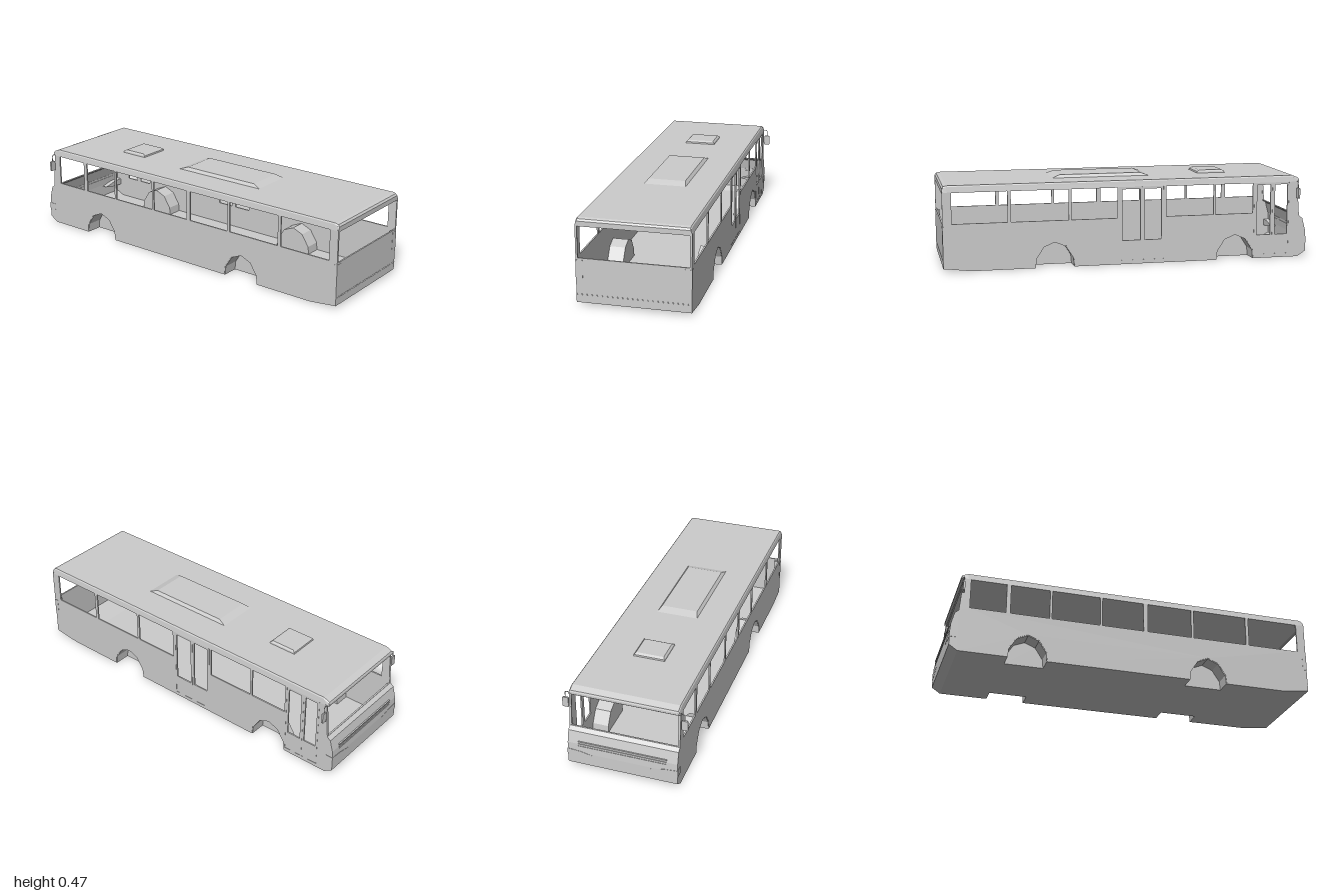
import * as THREE from 'three';

const mat = new THREE.MeshStandardMaterial({ color: 0xcccccc, flatShading: true, side: THREE.DoubleSide });
const HALF = 0.292, WALL = 0.008;

const poly = (pts, C = THREE.Shape) => new C(pts.map(([a, b]) => new THREE.Vector2(a, b)));
const rect = (a0, b0, a1, b1) => [[a0, b0], [a1, b0], [a1, b1], [a0, b1]];

function add(parent, name, geo, x = 0, y = 0, z = 0) {
  const m = new THREE.Mesh(geo, mat);
  m.name = name;
  m.position.set(x, y, z);
  parent.add(m);
  return m;
}

function box(parent, name, x0, x1, y0, y1, z0, z1) {
  return add(parent, name, new THREE.BoxGeometry(x1 - x0, y1 - y0, z1 - z0),
    (x0 + x1) / 2, (y0 + y1) / 2, (z0 + z1) / 2);
}

// Extrude a [x, y] outline along z
function extrude(pts, holes, depth) {
  const s = poly(pts);
  s.holes = holes.map(h => poly(h, THREE.Path));
  return new THREE.ExtrudeGeometry(s, { depth, bevelEnabled: false });
}

// Extrude a [z, y] outline along x
function extrudeX(pts, holes, depth) {
  const flip = p => p.map(([z, y]) => [-z, y]);
  return extrude(flip(pts), holes.map(flip), depth).rotateY(Math.PI / 2);
}

// Skin equal closed rings of [x, y, z], capping both ends
function loft(rings) {
  const n = rings[0].length, index = [];
  for (let i = 0; i < rings.length - 1; i++)
    for (let j = 0; j < n; j++) {
      const a = i * n + j, b = i * n + (j + 1) % n;
      index.push(a, b, b + n, a, b + n, a + n);
    }
  const last = (rings.length - 1) * n;
  for (let j = 1; j < n - 1; j++) index.push(0, j + 1, j, last, last + j, last + j + 1);
  const g = new THREE.BufferGeometry();
  g.setAttribute('position', new THREE.Float32BufferAttribute(rings.flat(2), 3));
  g.setIndex(index);
  const flat = g.toNonIndexed();
  flat.computeVertexNormals();
  return flat;
}

// Counter-clockwise rectangle in plan, at height y
const planRing = (hx, z0, z1, y) => [[-hx, y, z1], [hx, y, z1], [hx, y, z0], [-hx, y, z0]];

const ARCHES = [-0.59, 0.41];
const archProfile = (zc, r = 1) =>
  [[-0.107, 0], [-0.102, 0.05], [-0.06, 0.115], [0, 0.14], [0.06, 0.115], [0.102, 0.05], [0.107, 0]]
    .map(([z, y]) => [zc + z * r, y * r]);

const NOSE = [[-1, 0.03], [-1, 0.1], [-0.997, 0.15], [-0.98, 0.214], [-0.96, 0.23]];

export function createModel() {
  const bus = new THREE.Group();
  bus.name = 'busBody';

  // Side walls with wheel cut-outs and window openings
  const outline = [[-0.955, 0], ...archProfile(ARCHES[0]), ...archProfile(ARCHES[1]),
    [0.85, 0], [1, 0.018], [1, 0.42], [-0.945, 0.42], ...NOSE.slice().reverse()];
  const win = (a, b) => rect(a, 0.253, b, 0.418);
  const pane = (a, b) => rect(a, 0.13, b, 0.408);
  const shared = [[0.66, 0.952], [0.335, 0.642], [0.07, 0.32], [-0.465, -0.2], [-0.69, -0.478]].map(w => win(...w));
  const doorSide = [...shared, pane(-0.056, 0.043), pane(-0.172, -0.08), pane(-0.792, -0.715), pane(-0.89, -0.818)];
  const plainSide = [...shared, win(-0.187, 0.045), win(-0.905, -0.713)];
  add(bus, 'leftSideWall', extrudeX(outline, doorSide, WALL), HALF - WALL);
  add(bus, 'rightSideWall', extrudeX(outline, plainSide, WALL), -HALF);

  // Door seams and sills
  for (const z of [0.052, -0.067, -0.186, -0.7, -0.805, -0.9])
    box(bus, 'doorSeam', HALF - 0.002, HALF + 0.001, 0.02, 0.42, z - 0.002, z + 0.002);
  for (const [a, b] of [[-0.186, 0.052], [-0.9, -0.7]])
    box(bus, 'doorSill', HALF - 0.002, HALF + 0.001, 0.018, 0.022, a, b);

  // Roof shell, dropping at both ends
  const roofRing = ([z, t]) => [[HALF, 0.42], [0.287, t - 0.006], [0.282, t],
    [-0.282, t], [-0.287, t - 0.006], [-HALF, 0.42]].map(([x, y]) => [x, y, z]);
  add(bus, 'roof', loft([[-0.957, 0.432], [-0.953, 0.441], [-0.92, 0.455],
    [0.975, 0.455], [0.992, 0.45], [1, 0.44]].map(roofRing)));

  // Roof unit and hatch
  add(bus, 'roofUnit', loft([planRing(0.115, -0.15, 0.4, 0.453), planRing(0.1, -0.1, 0.35, 0.471)]));
  add(bus, 'roofHatch', loft([planRing(0.085, -0.59, -0.43, 0.453), planRing(0.083, -0.588, -0.432, 0.463),
    planRing(0.075, -0.575, -0.445, 0.471)]));

  // End wall at +z, with window, bumper lines and corner lamps
  add(bus, 'rearWall', extrude(rect(-HALF, 0.017, HALF, 0.425), [rect(-0.282, 0.25, 0.282, 0.414)], WALL), 0, 0, 1 - WALL);
  for (const y of [0.057, 0.062])
    box(bus, 'rearBumperLine', -HALF, HALF, y - 0.001, y + 0.001, 0.995, 1.001);

  // Nose panel
  const inner = NOSE.map(([z, y]) => [z + 0.01, y]).reverse();
  add(bus, 'nosePanel', extrudeX([[-0.955, 0], ...NOSE, ...inner, [-0.945, 0.008]], [], 2 * HALF), -HALF);

  // Windscreen frame, leaning back slightly
  const frame = add(bus, 'windscreenFrame',
    extrude(rect(-HALF, 0, HALF, 0.2), [rect(-0.281, 0.006, 0.281, 0.186)], WALL), 0, 0.225, -0.96);
  frame.rotation.x = 0.077;

  // Grille bars and bumper line
  for (const y of [0.137, 0.15, 0.163])
    box(bus, 'grilleBar', -0.235, 0.235, y - 0.0025, y + 0.0025, -1, -0.985);
  box(bus, 'frontBumperLine', -HALF, HALF, 0.054, 0.057, -1, -0.99);

  for (const s of [-1, 1]) {
    const side = s > 0 ? 'left' : 'right';

    // Tail lamp wrapping round the corner
    box(bus, side + 'TailLamp', Math.min(s * 0.257, s * 0.293), Math.max(s * 0.257, s * 0.293), 0.143, 0.24, 0.978, 1.001);

    // Headlamp tapering inward
    add(bus, side + 'Headlamp', extrude([[s * 0.294, 0.075], [s * 0.294, 0.113], [s * 0.225, 0.108],
      [s * 0.15, 0.092], [s * 0.225, 0.078]], [], 0.04), 0, 0, -1.001);

    // Mirror on a bent arm
    const mirror = new THREE.Group();
    mirror.name = side + 'Mirror';
    bus.add(mirror);
    const arm = new THREE.CurvePath();
    const p = [[0.285, 0.422], [0.308, 0.422], [0.313, 0.417], [0.313, 0.38]].map(([x, y]) => new THREE.Vector3(s * x, y, -0.945));
    for (let i = 0; i < 3; i++) arm.add(new THREE.LineCurve3(p[i], p[i + 1]));
    add(mirror, 'mirrorArm', new THREE.TubeGeometry(arm, 16, 0.002, 6));
    add(mirror, 'mirrorHead', extrude([[-0.016, 0.333], [-0.012, 0.331], [0.012, 0.331], [0.016, 0.335],
      [0.016, 0.383], [0.012, 0.387], [-0.012, 0.387], [-0.016, 0.383]], [], 0.01), s * 0.313, 0, -0.95);

    // Wheel housings: hood and closing plate
    for (const zc of ARCHES) {
      const hood = [...archProfile(zc), ...archProfile(zc, 0.97).reverse()];
      add(bus, side + 'WheelHood', extrudeX(hood, [], 0.09), s > 0 ? 0.2 : -0.29);
      add(bus, side + 'WheelHousingPlate', extrudeX(archProfile(zc), [], 0.004), s > 0 ? 0.198 : -0.202);
    }
  }

  // Floor, notched for the wheels, and its raised tail
  const edge = [[0.288, -0.955]];
  for (const z of ARCHES)
    edge.push([0.288, z - 0.107], [0.2, z - 0.107], [0.2, z + 0.107], [0.288, z + 0.107]);
  edge.push([0.288, 0.85]);
  const plan = [...edge, ...edge.map(([x, z]) => [-x, z]).reverse()];
  add(bus, 'floor', extrude(plan, [], 0.008).rotateX(Math.PI / 2), 0, 0.008, 0);
  add(bus, 'floorTail', extrudeX([[0.85, 0], [1, 0.018], [1, 0.026], [0.85, 0.008]], [], 0.576), -0.288);

  return bus;
}
